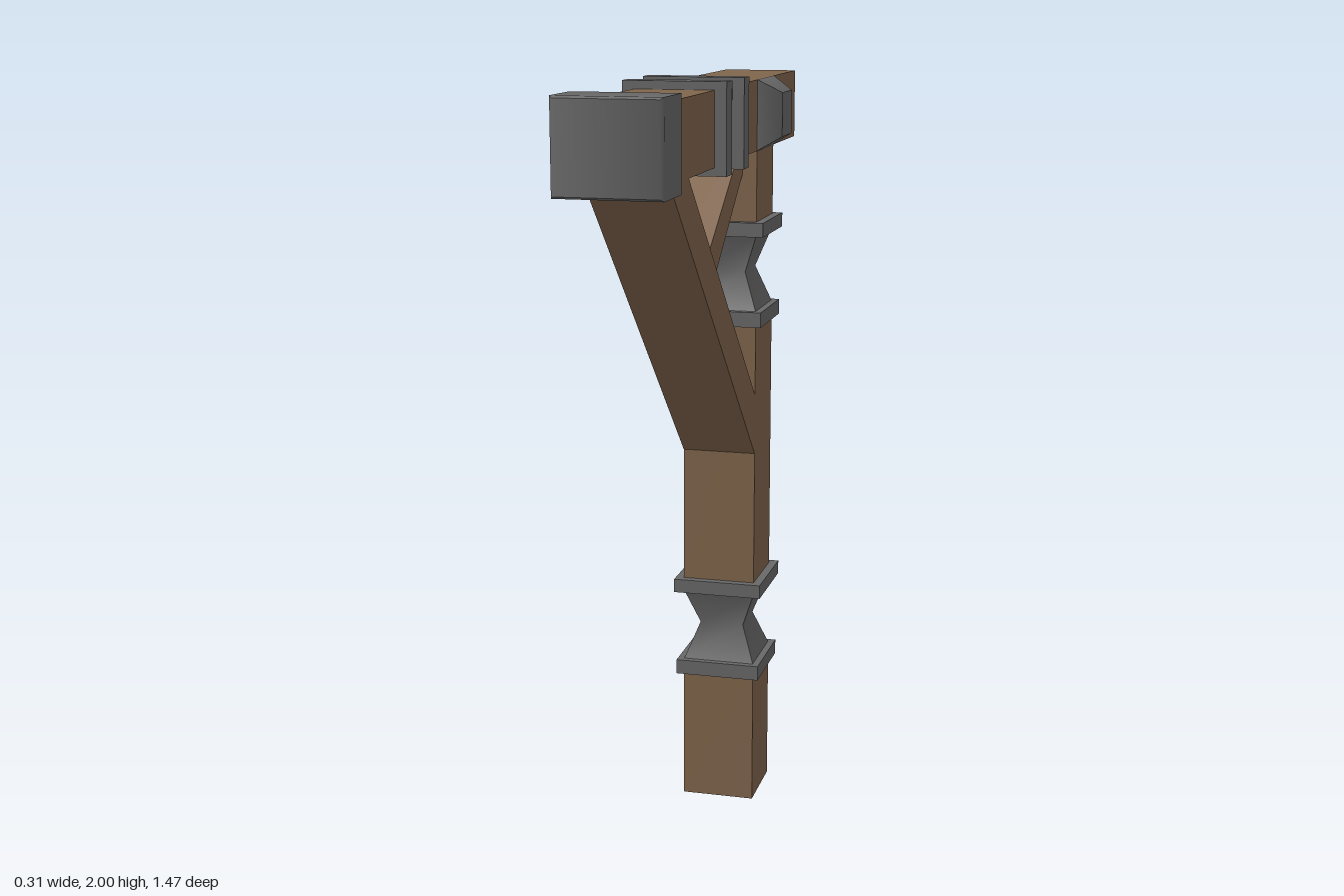
import * as THREE from 'three';
import { toCreasedNormals } from 'three/addons/utils/BufferGeometryUtils.js';

const wood = new THREE.MeshStandardMaterial({ color: 0x80654c });
const iron = new THREE.MeshStandardMaterial({ color: 0x686868 });

const HALF = 0.098;      // half width of the timbers
const POST_Z = -0.362;   // centre line of the post
const BEAM_Y = 1.89;     // centre line of the beam
const BEAM_H = 0.09;     // half height of the beam

// Rectangular loft along +y; each section is [position, half x, half z]
function loft(sections) {
  const n = sections.length - 1;
  const geo = new THREE.BoxGeometry(2, 1, 2, 1, n, 1);
  const p = geo.attributes.position;
  for (let i = 0; i < p.count; i++) {
    const [t, hx, hz] = sections[Math.round((p.getY(i) + 0.5) * n)];
    p.setXYZ(i, p.getX(i) * hx, t, p.getZ(i) * hz);
  }
  geo.computeVertexNormals();
  return toCreasedNormals(geo, THREE.MathUtils.degToRad(50));
}

// Flat timber cut from a side outline of [z, y] points, centred on x = 0
function sideTimber(points, halfWidth) {
  const shape = new THREE.Shape(points.map(([z, y]) => new THREE.Vector2(-z, y)));
  const geo = new THREE.ExtrudeGeometry(shape, { depth: 2 * halfWidth, bevelEnabled: false });
  return geo.translate(0, 0, -halfWidth).rotateY(Math.PI / 2);
}

export function createModel() {
  const model = new THREE.Group();
  const add = (name, geo, material, parent = model) => {
    const mesh = new THREE.Mesh(geo, material);
    mesh.name = name;
    parent.add(mesh);
    return mesh;
  };

  // Post, interrupted by the two iron waists
  const post = new THREE.Group();
  post.name = 'post';
  post.position.z = POST_Z;
  model.add(post);
  for (const [y0, y1] of [[0, 0.38], [0.615, 1.365], [1.605, 1.8]]) {
    const geo = new THREE.BoxGeometry(2 * HALF, y1 - y0, 2 * HALF).translate(0, (y0 + y1) / 2, 0);
    const material = y0 === 0 ? [wood, wood, wood, iron, wood, wood] : wood;
    add('postSection', geo, material, post);
  }

  // Post fittings: two square collars with an hourglass waist between
  for (const y of [0.36, 1.342]) {
    const fitting = new THREE.Group();
    fitting.name = 'postFitting';
    fitting.position.y = y;
    post.add(fitting);
    add('lowerCollar', loft([[0, 0.115, 0.115], [0.04, 0.115, 0.115]]), iron, fitting);
    add('upperCollar', loft([[0.238, 0.12, 0.12], [0.275, 0.12, 0.12]]), iron, fitting);
    add('waist', loft([[0.038, HALF, HALF], [0.138, 0.06, 0.06], [0.24, HALF, HALF]]), iron, fitting);
  }

  // Beam and its fittings, built along y then laid along z
  const beam = new THREE.Group();
  beam.name = 'beam';
  beam.position.y = BEAM_Y;
  beam.rotation.x = Math.PI / 2;
  model.add(beam);
  for (const [z0, z1] of [[-0.735, -0.015], [0.16, 0.62]]) {
    add('beamSection', loft([[z0, HALF, BEAM_H], [z1, HALF, BEAM_H]]), wood, beam);
  }
  for (const [z0, z1] of [[-0.043, 0.01], [0.135, 0.19]]) {
    add('beamCollar', loft([[z0, 0.127, 0.11], [z1, 0.127, 0.11]]), iron, beam);
  }
  add('beamWaist', loft([[0.008, HALF, BEAM_H], [0.072, 0.075, 0.068], [0.137, HALF, BEAM_H]]), iron, beam);
  add('endCap', loft([
    [0.585, 0.118, 0.103], [0.592, 0.125, 0.108], [0.73, 0.125, 0.108], [0.737, 0.118, 0.103],
  ]), iron, beam);

  // Raised studs on both sides of the beam above the post
  for (const side of [-1, 1]) {
    const stud = add(side > 0 ? 'leftStud' : 'rightStud',
      loft([[HALF - 0.005, BEAM_H, HALF], [HALF, BEAM_H, HALF], [0.155, 0.056, 0.058]]), iron);
    stud.position.set(0, BEAM_Y, POST_Z);
    stud.rotation.z = -side * Math.PI / 2;
  }

  // Long diagonal brace and the short strut behind it
  add('brace', sideTimber([[0.587, 1.8], [0.427, 1.8], [-0.265, 1.157], [-0.265, 0.997]], HALF), wood);
  add('strut', sideTimber([
    [0.155, 1.542], [0.08, 1.478], [-0.265, 1.74], [-0.265, 1.8], [-0.222, 1.8],
  ], 0.06), wood);

  return model;
}
